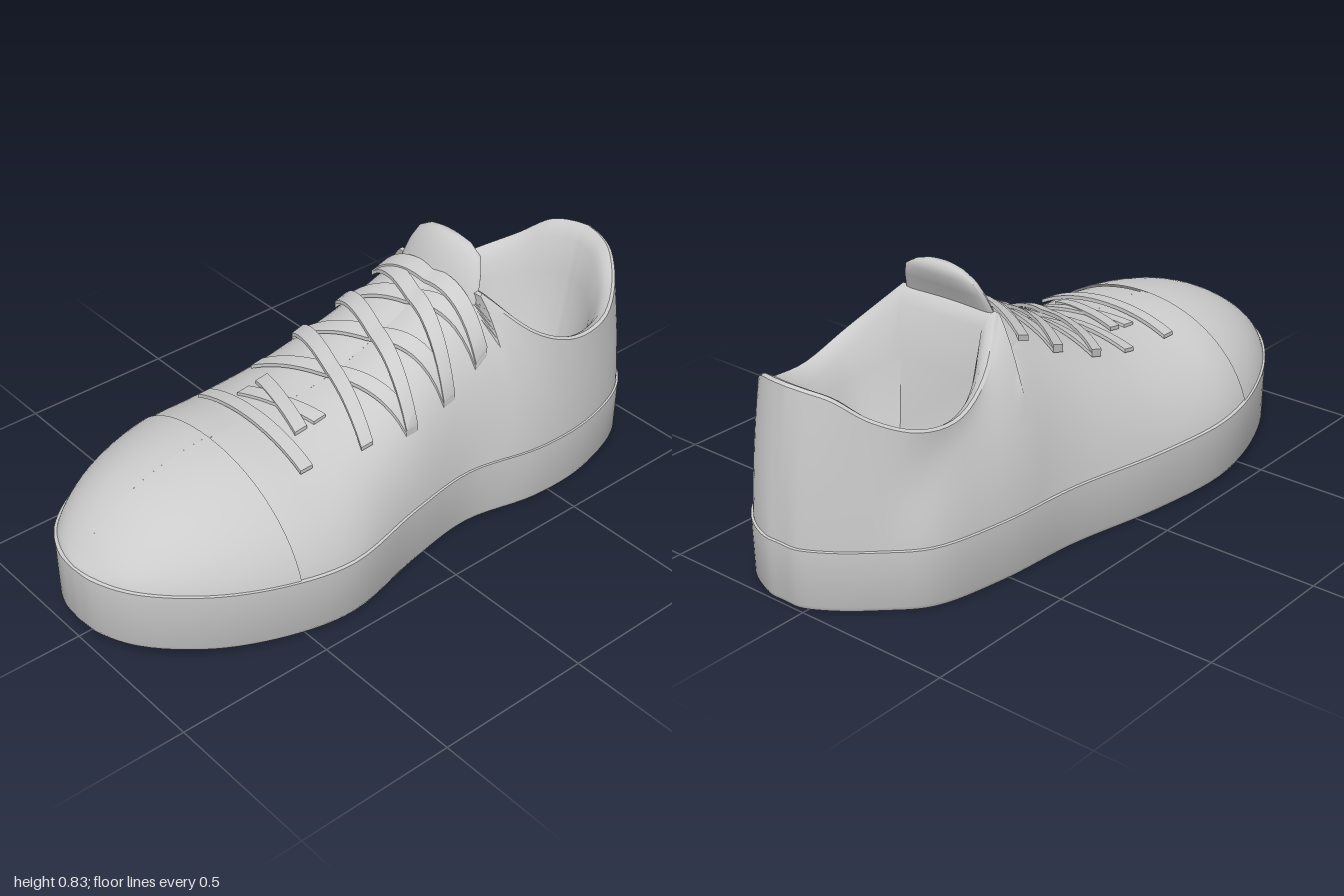
import * as THREE from 'three';
import { mergeVertices, toCreasedNormals } from 'three/addons/utils/BufferGeometryUtils.js';

const V = (x, y, z) => new THREE.Vector3(x, y, z);
const material = new THREE.MeshStandardMaterial({ color: 0xcccccc, side: THREE.DoubleSide });

// Smooth lookup in a table of [key, value] rows
function lookup(table, k) {
  const n = table.length - 1;
  let i = 0;
  while (i < n - 1 && k > table[i + 1][0]) i++;
  const slope = (a, b) => (table[b][1] - table[a][1]) / (table[b][0] - table[a][0]);
  const h = table[i + 1][0] - table[i][0];
  const t = THREE.MathUtils.clamp((k - table[i][0]) / h, 0, 1);
  const m0 = slope(Math.max(i - 1, 0), i + 1) * h, m1 = slope(i, Math.min(i + 2, n)) * h;
  const a = table[i][1], b = table[i + 1][1];
  return a + t * m0 + t * t * (3 * (b - a) - 2 * m0 - m1) + t * t * t * (2 * (a - b) + m0 + m1);
}

// Surface through neighbouring columns of points
function skin(name, columns, closed = false, crease = 0.8) {
  const rows = columns[0].length, n = columns.length, index = [];
  for (let i = 0; i < (closed ? n : n - 1); i++) {
    for (let j = 0; j < rows - 1; j++) {
      const a = i * rows + j, b = ((i + 1) % n) * rows + j;
      index.push(b, a, a + 1, b, a + 1, b + 1);
    }
  }
  let geo = new THREE.BufferGeometry().setFromPoints(columns.flat());
  geo.setIndex(index);
  geo = toCreasedNormals(mergeVertices(geo, 1e-4), crease);
  const mesh = new THREE.Mesh(geo, material);
  mesh.name = name;
  return mesh;
}

// Foot outline from heel to toe, as [z, x]
const outline = {
  right: [[-1, 0.08], [-0.998, 0.02], [-0.95, -0.07], [-0.87, -0.165], [-0.76, -0.265], [-0.53, -0.32], [-0.24, -0.345],
    [0.08, -0.41], [0.37, -0.44], [0.57, -0.41], [0.78, -0.32], [0.93, -0.195], [0.99, -0.08], [1, 0]],
  left: [[-1, 0.08], [-0.998, 0.14], [-0.95, 0.24], [-0.86, 0.32], [-0.66, 0.385], [-0.45, 0.39], [-0.2, 0.34],
    [0.05, 0.375], [0.34, 0.44], [0.56, 0.41], [0.77, 0.325], [0.93, 0.195], [0.99, 0.08], [1, 0]],
};
// Collar edge from heel to throat, as [x, y, z]
const collar = {
  right: [[0.07, 0.64, -0.955], [0.01, 0.635, -0.945], [-0.06, 0.62, -0.918], [-0.14, 0.56, -0.855],
    [-0.215, 0.513, -0.75], [-0.235, 0.505, -0.61], [-0.205, 0.57, -0.46], [-0.14, 0.7, -0.33]],
  left: [[0.07, 0.64, -0.955], [0.13, 0.635, -0.945], [0.2, 0.62, -0.918], [0.28, 0.56, -0.855],
    [0.345, 0.513, -0.75], [0.36, 0.505, -0.61], [0.335, 0.57, -0.46], [0.22, 0.7, -0.33]],
};
const centreTable = [[-1, 0.08], [-0.33, 0.05], [0, 0.03], [0.5, 0], [1, 0]];
const crestTable = [[-0.4, 0.72], [-0.33, 0.7], [-0.2, 0.635], [-0.1, 0.58], [0, 0.535], [0.1, 0.5], [0.2, 0.48],
  [0.35, 0.465], [0.5, 0.465], [0.65, 0.447], [0.79, 0.405], [0.915, 0.33], [1, 0.245]];
const soleTopTable = [[-1, 0.185], [0.3, 0.19], [0.6, 0.21], [1, 0.25]];
const soleBottomTable = [[-1, 0], [0.3, 0], [0.7, 0.022], [1, 0.052]];
const centre = z => lookup(centreTable, z);

// Bezier from base to end; handles are [across, up] fractions
function arch(base, end, [a, b], [c, d]) {
  const mix = (k, h) => V(0, 0, 0).lerpVectors(base, end, k).setY(base.y + (end.y - base.y) * h);
  return new THREE.CubicBezierCurve3(base, mix(a, b), mix(c, d), end);
}
function baseAt(x, z) {
  const c = centre(z);
  return V(c + (x - c) * 0.985, lookup(soleTopTable, z) - 0.008, z * 0.993);
}
// Half arch over the forefoot, squarer towards the throat
function frontArch(x, z, lift = 0) {
  const base = baseAt(x, z), s = THREE.MathUtils.smoothstep(-z, -0.4, 0.1);
  const end = V(centre(z), lookup(crestTable, z) + lift, base.z);
  return arch(base, end, [0.1, 0.57 + 0.08 * s], [0.48 - 0.08 * s, 1 + 0.08 * s]);
}
// Heel wall up to the collar, fuller near the throat (k = 1)
const heelArch = (x, z, end, k) => arch(baseAt(x, z), end, [0.08, 0.35 + 0.1 * k ** 3], [0.6, 0.75 + 0.1 * k ** 3]);

// Height of the vamp above a point, used to lay the laces
function vampHeight(x, z) {
  const side = x < centre(z) ? 'right' : 'left';
  const points = frontArch(lookup(outline[side], z), z).getPoints(40);
  const c = centre(z);
  const k = Math.max(1, points.findIndex(p => Math.abs(p.x - c) <= Math.abs(x - c)));
  const p = points[k - 1], q = points[k];
  return THREE.MathUtils.mapLinear(x, p.x, q.x, p.y, q.y);
}

// Flat lace draped over the vamp
function lace(name, x0, z0, x1, z1, lift) {
  const columns = [];
  for (let i = 0; i <= 20; i++) {
    const t = i / 20, x = x0 + (x1 - x0) * t, z = z0 + (z1 - z0) * t, w = 0.022;
    const up = z => vampHeight(x, z) + lift;
    const a = up(z - w), b = up(z + w);
    const ring = [V(x, a, z - w), V(x, b, z + w), V(x, b - 0.012, z + w), V(x, a - 0.012, z - w)];
    columns.push([...ring, ring[0].clone()]);
  }
  const cap = ring => ring.map(() => ring[0].clone().lerp(ring[2], 0.5));
  return skin(name, [cap(columns[0]), ...columns, cap(columns[20])], false, 0.6);
}

export function createModel() {
  const shoe = new THREE.Group();
  shoe.name = 'shoe';

  // Columns of each side, heel to toe
  const sides = {};
  for (const side of ['right', 'left']) {
    const points = new THREE.CatmullRomCurve3(outline[side].map(([z, x]) => V(x, 0, z))).getPoints(78);
    const rim = new THREE.CatmullRomCurve3(collar[side].map(p => V(...p)));
    const heelCount = points.findIndex(p => p.z > -0.34);
    sides[side] = points.map((p, i) => {
      const k = i / (heelCount - 1), end = k <= 1 ? rim.getPoint(k) : null;
      const curve = end ? heelArch(p.x, p.z, end, k) : frontArch(p.x, p.z);
      return { p, end, column: curve.getPoints(20) };
    });
  }
  const around = [...[...sides.right].reverse(), ...sides.left.slice(1)];

  // Sole: bottom face, side wall and top ledge
  shoe.add(skin('sole', around.map(({ p }) => {
    const c = centre(p.z), bottom = lookup(soleBottomTable, p.z), top = lookup(soleTopTable, p.z);
    const at = (k, y) => V(c + (p.x - c) * k, y, p.z * (1 - (1 - k) * 0.4));
    return [V(c, bottom, p.z * 0.98), at(0.975, bottom), at(0.995, bottom + 0.015), at(1, top), at(0.95, top + 0.005)];
  })));

  // Upper, and the slightly raised toe cap in front of the seam
  const seam = 0.52;
  shoe.add(skin('upper', around.filter(c => c.p.z < seam + 0.04).map(c => c.column)));
  const capSide = side => [V(lookup(outline[side], seam), 0, seam), ...sides[side].map(c => c.p).filter(p => p.z > seam)];
  const capOutline = [...capSide('left'), ...capSide('right').reverse().slice(1)];
  shoe.add(skin('toeCap', capOutline.map(p => frontArch(p.x * 1.008, p.z, 0.008).getPoints(20))));

  // Padded collar running down to a flat insole
  const rims = around.filter(c => c.end).map(c => c.end);
  const mid = V(0.06, 0, -0.61);
  shoe.add(skin('lining', rims.map(e => {
    const at = (k, y) => V(mid.x + (e.x - mid.x) * k, y, mid.z + (e.z - mid.z) * k);
    return [e, at(0.97, e.y + 0.006), at(0.91, e.y - 0.005), at(0.85, e.y - 0.04), at(0.78, e.y * 0.5 + 0.16),
      at(0.7, 0.3), at(0.6, 0.21), V(mid.x, 0.21, mid.z)];
  }), true, 0.75));

  // Tongue: rounded slab, stations of [y, z, half width, half thickness]
  const tongue = [[0.5, -0.27, 0.15, 0.015], [0.62, -0.29, 0.165, 0.02], [0.7, -0.318, 0.165, 0.025],
    [0.75, -0.34, 0.152, 0.029], [0.79, -0.36, 0.132, 0.03], [0.815, -0.37, 0.09, 0.023], [0.826, -0.372, 0.05, 0.012],
    [0.827, -0.372, 0, 0]];
  const tongueColumns = [];
  for (let i = 0; i <= 24; i++) {
    const a = -i / 24 * Math.PI * 2;
    tongueColumns.push(tongue.map(([y, z, w, d]) => {
      const x = Math.cos(a) * w;
      return V(0.036 + x, y, z - Math.sin(a) * d - x * x * 0.8);
    }));
  }
  shoe.add(skin('tongue', tongueColumns, false, 1.2));

  // Laces: straight bars at both ends, crossed between the eyelets
  const eyelets = [[0.36, -0.23, 0.25], [0.16, -0.23, 0.28], [0, -0.23, 0.295], [-0.155, -0.21, 0.285], [-0.285, -0.19, 0.28]];
  const laces = new THREE.Group();
  laces.name = 'laces';
  [[0, 0.02], [4, 0.036]].forEach(([i, lift]) => {
    const [z, right, left] = eyelets[i];
    laces.add(lace('laceBar', right, z, left, z, lift));
  });
  for (let i = 1; i < 4; i++) {
    const [z0, r0, l0] = eyelets[i], [z1, r1, l1] = eyelets[i + 1];
    laces.add(lace('laceCross', r0, z0, l1, z1, 0.018));
    laces.add(lace('laceCross', l0, z0, r1, z1, 0.03));
  }
  // Low crossing behind the first bar
  laces.add(lace('laceCross', -0.13, 0.29, 0.14, 0.22, 0.01));
  laces.add(lace('laceCross', 0.14, 0.29, -0.13, 0.22, 0.014));
  shoe.add(laces);
  return shoe;
}
